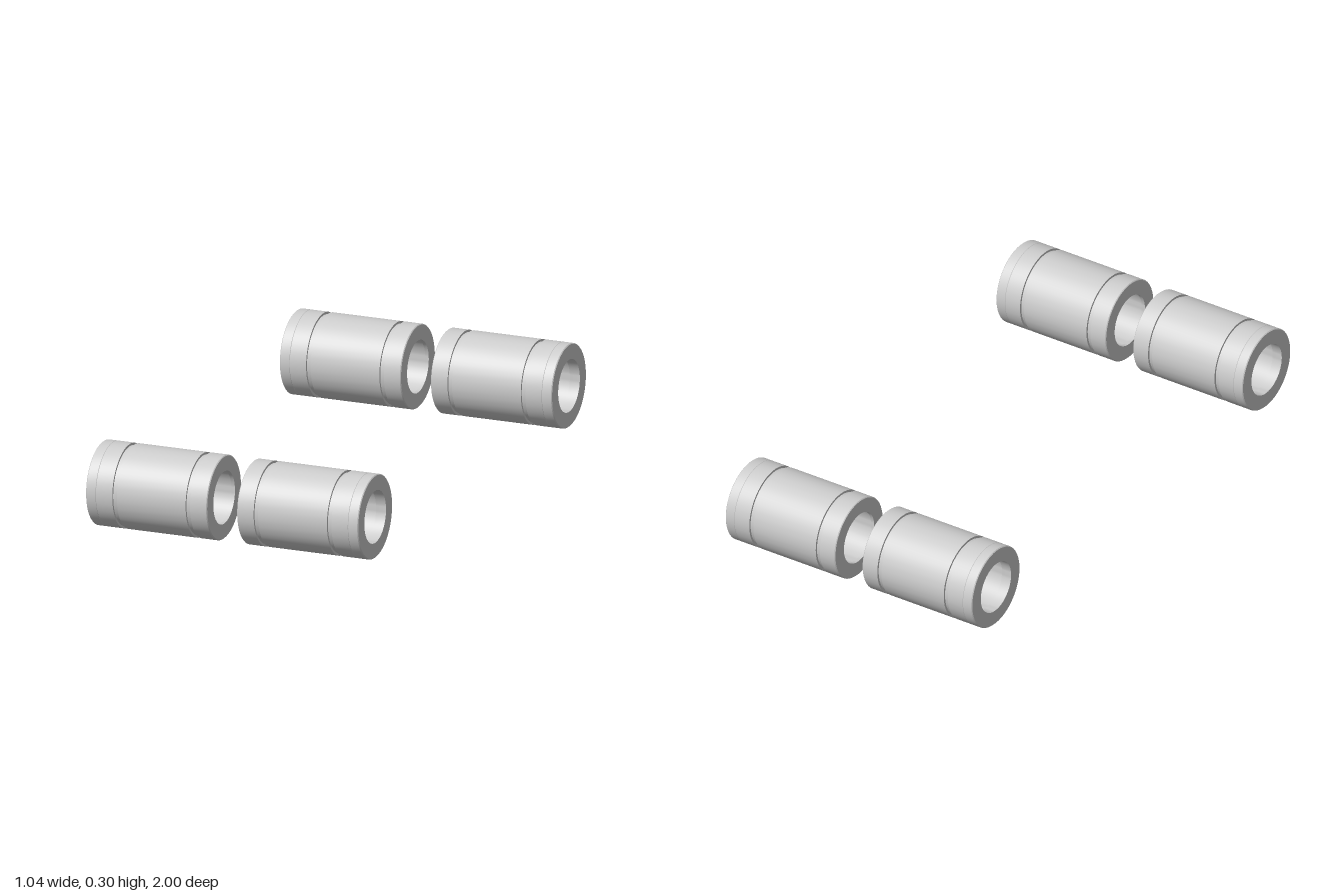
import * as THREE from 'three';
import { toCreasedNormals } from 'three/addons/utils/BufferGeometryUtils.js';

const R = 0.151;       // outer radius
const GROOVE = 0.143;  // radius at the bottom of the ring grooves
const BORE = 0.1;      // bore radius inside the sleeve
const LIP = 0.095;     // narrower opening of the end cap
const C = 0.003;       // edge chamfer

// Closed ring profile: [radius, distance along the axis], outside going up, inside coming down
function ring(points) {
  const profile = [...points, points[0]].map(([r, a]) => new THREE.Vector2(r, a));
  return toCreasedNormals(new THREE.LatheGeometry(profile, 64), 0.5);
}

export function createModel() {
  const model = new THREE.Group();
  model.name = 'linearBearingSet';
  const material = new THREE.MeshStandardMaterial({ color: 0xcccccc });

  // Sleeve with two retaining ring grooves
  const sleeve = ring([
    [R - C, 0.057], [R, 0.057 + C],
    [R, 0.121], [GROOVE, 0.121], [GROOVE, 0.138], [R, 0.138],
    [R, 0.4], [GROOVE, 0.4], [GROOVE, 0.417], [R, 0.417],
    [R, 0.479], [R - 0.001, 0.48], [BORE, 0.48], [BORE, 0.07],
    [LIP, 0.07], [LIP, 0.057],
  ]);
  // End cap with a lip that narrows the bore
  const cap = ring([
    [R - 0.001, 0.48], [R, 0.481], [R, 0.518 - C], [R - C, 0.518],
    [LIP, 0.518], [LIP, 0.48],
  ]);

  // Four bearings, the caps facing outward along x
  for (const side of [1, -1]) {
    for (const z of [0.849, -0.849]) {
      const bearing = new THREE.Group();
      bearing.name = (z > 0 ? 'front' : 'back') + (side > 0 ? 'Left' : 'Right') + 'Bearing';
      for (const [name, geometry] of [['sleeve', sleeve], ['endCap', cap]]) {
        const mesh = new THREE.Mesh(geometry, material);
        mesh.name = name;
        bearing.add(mesh);
      }
      bearing.rotation.z = -side * Math.PI / 2;
      bearing.position.set(0, R, z);
      model.add(bearing);
    }
  }
  return model;
}
